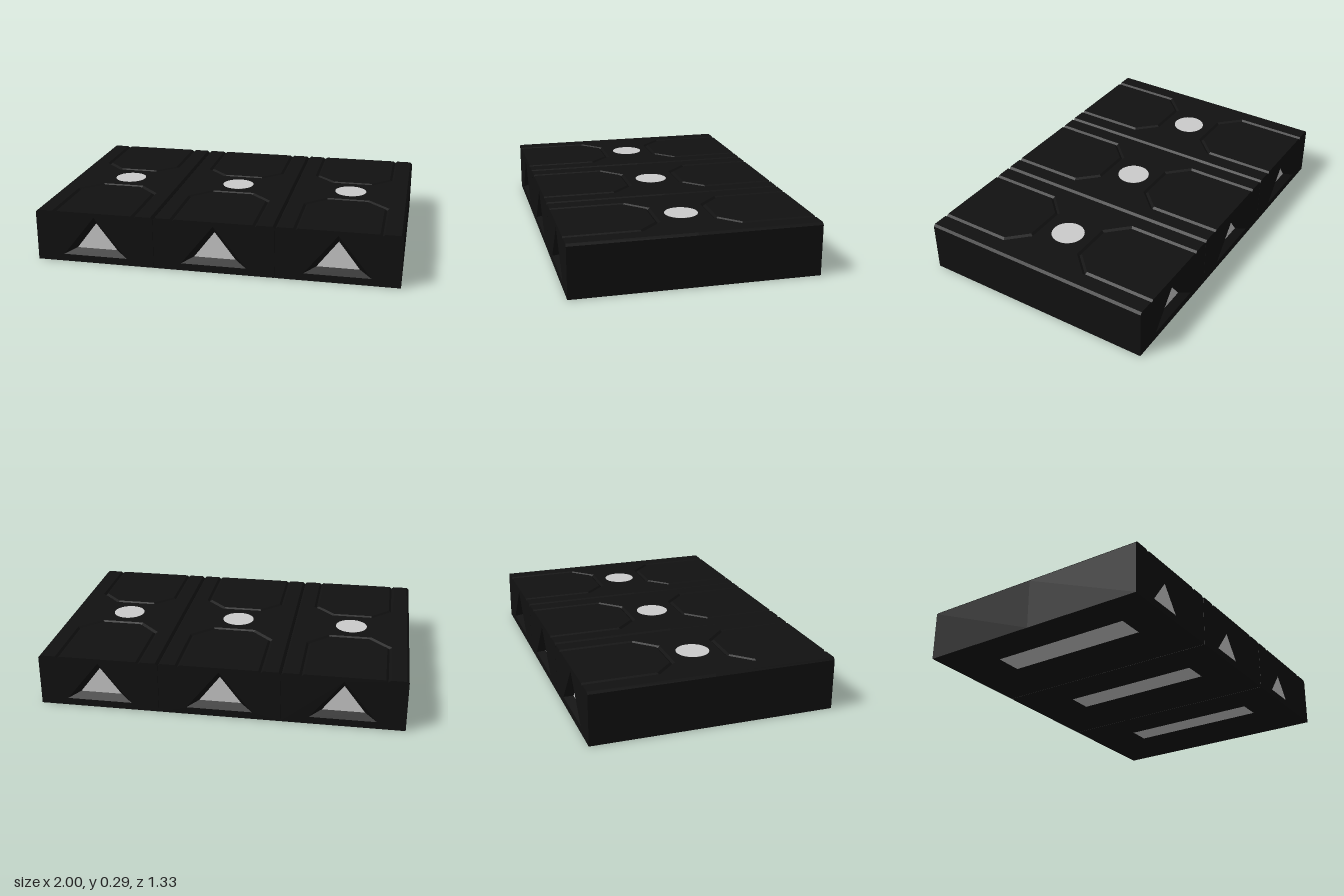
import * as THREE from 'three';
import { mergeGeometries } from 'three/addons/utils/BufferGeometryUtils.js';

const PITCH = 2 / 3, W = 0.3325, H = 0.29, D = 0.667; // panel spacing, half width, height, half depth
const CH = 0.012;                                     // chamfer on the top long edges
const GROOVE_X = 0.225, GROOVE_W = 0.0125, GROOVE_D = 0.01;
const RECESS = 0.04;

const v = (x, y, z) => new THREE.Vector3(x, y, z);

// Quads joining two rows of points
function strip(a, b, closed = false) {
  const pts = [], n = a.length;
  for (let i = 0; i < (closed ? n : n - 1); i++) {
    const j = (i + 1) % n;
    pts.push(a[i], a[j], b[j], a[i], b[j], b[i]);
  }
  const g = new THREE.BufferGeometry().setFromPoints(pts);
  g.computeVertexNormals();
  return g;
}

// Flat polygon facing +z, with an optional hole
function flat(points, hole) {
  const toVec = (list) => list.map(([x, y]) => new THREE.Vector2(x, y));
  const shape = new THREE.Shape(toVec(points));
  if (hole) shape.holes.push(new THREE.Path(toVec(hole)));
  const g = new THREE.ShapeGeometry(shape).toNonIndexed();
  g.deleteAttribute('uv');
  return g;
}

// Groove outline as [x, z], offset outwards by o
function grooveLine(o) {
  const t = o * 0.414;
  const half = [[GROOVE_X + o, D], [GROOVE_X + o, 0.265 - t], [0.115 + t, 0.155 - o]];
  return [...half.map(([x, z]) => [-x, z]), ...half.reverse()];
}

const triInner = [[-0.115, 0.07], [0.115, 0.07], [0, 0.22]];
const triOuter = [[-0.18, 0.04], [0.18, 0.04], [0, 0.265]];

// Half of a panel shell, z from 0 to D
function halfShell() {
  const parts = [];
  const at = (line, y) => line.map(([x, z]) => v(x, y, z));
  const outer = grooveLine(GROOVE_W), mid = grooveLine(0), inner = grooveLine(-GROOVE_W);
  const neg = ([x, z]) => [x, -z];

  // top surface, raised pad and V groove between them
  const top = [[-W + CH, 0], [-W + CH, -D], ...outer.map(neg), [W - CH, -D], [W - CH, 0]];
  for (const outline of [top, inner.map(neg)]) {
    parts.push(flat(outline).rotateX(-Math.PI / 2).translate(0, H, 0));
  }
  parts.push(strip(at(mid, H - GROOVE_D), at(outer, H)));
  parts.push(strip(at(inner, H), at(mid, H - GROOVE_D)));

  // end face with groove notches and triangular opening
  const edge = [[W, 0], [W, H - CH], [W - CH, H], [GROOVE_X + GROOVE_W, H],
    [GROOVE_X, H - GROOVE_D], [GROOVE_X - GROOVE_W, H]];
  const mirrored = edge.map(([x, y]) => [-x, y]).reverse();
  parts.push(flat([...edge, ...mirrored], triOuter).translate(0, 0, D));
  parts.push(strip(triOuter.map(([x, y]) => v(x, y, D)),
    triInner.map(([x, y]) => v(x, y, D - RECESS)), true));

  // side walls with chamfer
  for (const s of [1, -1]) {
    const row = (z) => edge.slice(0, 3).map(([x, y]) => v(s * x, y, z));
    parts.push(s > 0 ? strip(row(0), row(D)) : strip(row(D), row(0)));
  }

  // underside with sloped rectangular recess
  const slot = (a, b) => [[-a, 0], [-a, b], [a, b], [a, 0]];
  const under = [[-W, 0], [-W, D], [W, D], [W, 0], ...slot(0.125, 0.45).reverse()];
  parts.push(flat(under).rotateX(Math.PI / 2));
  parts.push(strip(at(slot(0.09, 0.421), RECESS), at(slot(0.125, 0.45), 0)));
  return mergeGeometries(parts);
}

export function createModel() {
  const model = new THREE.Group();
  const dark = new THREE.MeshStandardMaterial({ color: 0x111111, side: THREE.DoubleSide });
  const grey = new THREE.MeshStandardMaterial({ color: 0xcccccc });

  const half = halfShell();
  const shell = mergeGeometries([half, half.clone().rotateY(Math.PI)]);
  const endLamp = flat(triInner).translate(0, 0, D - RECESS);
  const lamps = {
    topLamp: new THREE.CylinderGeometry(0.09, 0.09, 0.011, 32).translate(0, H - 0.0045, 0),
    frontLamp: endLamp,
    backLamp: endLamp.clone().rotateY(Math.PI),
    bottomLamp: new THREE.PlaneGeometry(0.18, 0.842).rotateX(Math.PI / 2).translate(0, RECESS, 0),
  };

  // three identical panels side by side
  for (const i of [-1, 0, 1]) {
    const panel = new THREE.Group();
    panel.name = 'panel';
    const add = (name, geometry, material) => {
      const mesh = new THREE.Mesh(geometry, material);
      mesh.name = name;
      panel.add(mesh);
    };
    add('panelShell', shell, dark);
    for (const [name, geometry] of Object.entries(lamps)) add(name, geometry, grey);
    panel.position.x = i * PITCH;
    model.add(panel);
  }
  return model;
}
